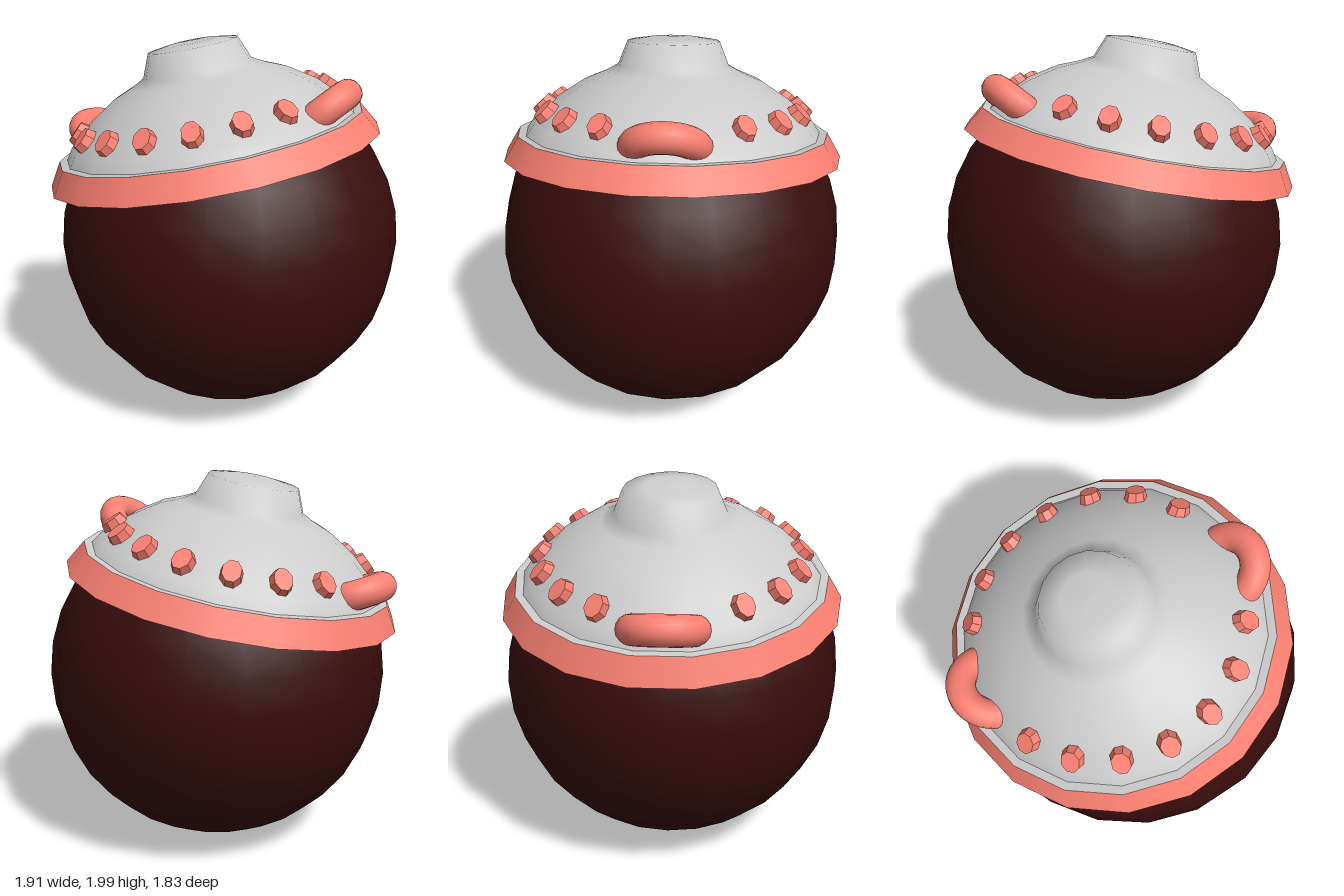
import * as THREE from 'three';

const grey = new THREE.MeshStandardMaterial({ color: 0xcccccc });
const darkRed = new THREE.MeshStandardMaterial({ color: 0x380c0c });
const salmon = new THREE.MeshStandardMaterial({ color: 0xfa8072 });
const salmonFlat = new THREE.MeshStandardMaterial({ color: 0xfa8072, flatShading: true });

function add(parent, name, geometry, material) {
  const mesh = new THREE.Mesh(geometry, material);
  mesh.name = name;
  parent.add(mesh);
  return mesh;
}

// 18-sided surface of revolution from [radius, height] pairs
function lathe(points) {
  return new THREE.LatheGeometry(points.map(([r, y]) => new THREE.Vector2(r, y)), 18);
}

export function createModel() {
  const model = new THREE.Group();
  model.name = 'ballWithLid';

  // Ball
  const centre = new THREE.Vector3(0.04, 0.918, 0);
  add(model, 'ball', new THREE.SphereGeometry(0.915, 20, 16), darkRed).position.copy(centre);

  // Lid, tilted about the centre of the ball
  const lid = new THREE.Group();
  lid.name = 'lid';
  lid.position.copy(centre);
  lid.rotation.z = THREE.MathUtils.degToRad(12);
  model.add(lid);

  add(lid, 'lidUnderside', lathe([[0.74, 0.455], [0.9, 0.455]]), grey);
  add(lid, 'rimBand', lathe([[0.9, 0.455], [0.825, 0.58]]), salmon);
  add(lid, 'rimLedge', lathe([[0.825, 0.58], [0.783, 0.58]]), grey);
  // Dome rising into a short blunt knob
  add(lid, 'domeAndKnob', lathe([
    [0.783, 0.58], [0.742, 0.64], [0.61, 0.755], [0.47, 0.845],
    [0.36, 0.89], [0.29, 0.928], [0.24, 1.05], [0.13, 1.067], [0, 1.073],
  ]), grey);

  // Studs around the dome, leaving gaps for the handles
  const studGeometry = new THREE.CylinderGeometry(0.052, 0.07, 0.09, 8);
  studGeometry.rotateY(Math.PI / 8);
  studGeometry.scale(0.93, 1, 1.18);
  for (let i = 0; i < 18; i++) {
    if ([4, 5, 13, 14].includes(i)) continue;
    const spoke = new THREE.Group();
    spoke.name = 'studMount';
    spoke.rotation.y = THREE.MathUtils.degToRad(2.5 + 20 * i);
    lid.add(spoke);
    const stud = add(spoke, 'stud', studGeometry, salmonFlat);
    stud.position.set(0, 0.695, 0.67);
    stud.rotation.x = THREE.MathUtils.degToRad(44);
  }

  // Half-ring handles on either side
  const handleGeometry = new THREE.TorusGeometry(0.15, 0.075, 16, 16, Math.PI);
  handleGeometry.rotateZ(-Math.PI / 2); // arch towards +x
  handleGeometry.rotateX(Math.PI / 2); // lay it flat
  handleGeometry.rotateZ(THREE.MathUtils.degToRad(30));
  for (const side of [1, -1]) {
    const mount = new THREE.Group();
    mount.name = side > 0 ? 'leftHandle' : 'rightHandle';
    mount.rotation.y = side > 0 ? 0 : Math.PI;
    lid.add(mount);
    add(mount, 'handleRing', handleGeometry, salmon).position.set(0.66, 0.625, 0);
    // Flat ends of the ring
    for (const z of [0.15, -0.15]) {
      const end = add(mount, 'handleEnd', new THREE.CircleGeometry(0.075, 16), salmon);
      end.position.set(0.66, 0.625, z);
      end.rotation.set(0, -Math.PI / 2, THREE.MathUtils.degToRad(30), 'ZYX');
    }
  }
  return model;
}
